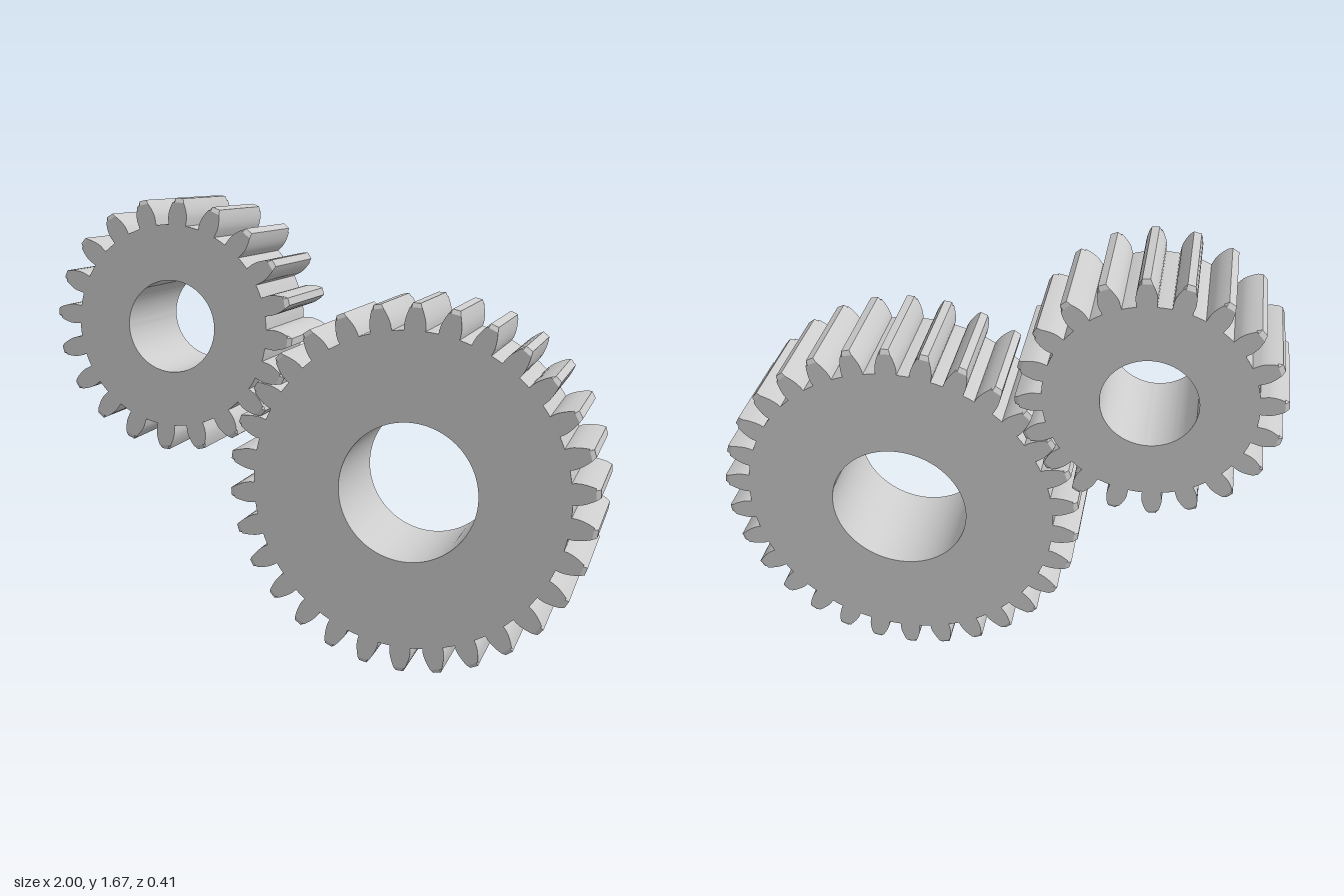
import * as THREE from 'three';
import { toCreasedNormals } from 'three/addons/utils/BufferGeometryUtils.js';

const MODULE = 0.0415;            // tooth size shared by both gears
const HALF = 0.206;               // half of the face width
const CHAMFER = { radial: 0.015, axial: 0.01 };
const PRESSURE = THREE.MathUtils.degToRad(20);
const involute = (a) => Math.tan(a) - a;

// Spur gear with involute teeth; phase is the angle of one tooth in degrees
function createGear(name, teeth, bore, phase, material) {
  const pitch = MODULE * teeth / 2;
  const base = pitch * Math.cos(PRESSURE);
  const root = pitch - 1.25 * MODULE;
  const tip = pitch + MODULE;
  const rim = tip - CHAMFER.radial;

  // Half the angle a tooth covers at radius r (radial flank below the base circle)
  const halfAngle = (r) => {
    const a = r > base ? Math.acos(base / r) : 0;
    return (Math.PI / 2 - 0.05) / teeth + involute(PRESSURE) - involute(a);
  };

  // Outline: up one flank, across the tip, down the other, along the root
  const radii = [root, base];
  for (let i = 1; i <= 4; i++) radii.push(base + (rim - base) * i / 4);
  radii.push(tip);
  const step = 2 * Math.PI / teeth;
  const points = [];
  const add = (r, a) => points.push(new THREE.Vector2(r * Math.cos(a), r * Math.sin(a)));
  for (let t = 0; t < teeth; t++) {
    const mid = THREE.MathUtils.degToRad(phase) + t * step;
    for (const r of radii) add(r, mid - halfAngle(r));
    for (const r of [...radii].reverse()) add(r, mid + halfAngle(r));
    const h = halfAngle(root);
    for (let i = 1; i <= 2; i++) add(root, mid + h + (step - 2 * h) * i / 3);
  }
  const shape = new THREE.Shape(points);
  const hole = new THREE.Path();
  hole.absarc(0, 0, bore, 0, 2 * Math.PI, true);
  shape.holes.push(hole);

  // Four layers along z: the two end layers are drawn in to chamfer the tips
  const geometry = new THREE.ExtrudeGeometry(shape, {
    depth: 3, steps: 3, bevelEnabled: false, curveSegments: 64,
  });
  const layers = [-HALF, -HALF + CHAMFER.axial, HALF - CHAMFER.axial, HALF];
  const pos = geometry.attributes.position;
  for (let i = 0; i < pos.count; i++) {
    const layer = Math.round(pos.getZ(i));
    const r = Math.hypot(pos.getX(i), pos.getY(i));
    const k = layer % 3 === 0 && r > rim ? rim / r : 1;
    pos.setXYZ(i, pos.getX(i) * k, pos.getY(i) * k, layers[layer]);
  }
  const mesh = new THREE.Mesh(toCreasedNormals(geometry, 0.42), material);
  mesh.name = name;
  return mesh;
}

export function createModel() {
  const group = new THREE.Group();
  group.name = 'gearPair';
  const material = new THREE.MeshStandardMaterial({ color: 0xcccccc });

  // Large wheel, lower left of the model
  const large = createGear('largeGear', 30, 0.251, 148, material);
  large.position.set(0.336, 0.664, 0);

  // Small pinion meshing with it, upper right of the model
  const small = createGear('smallGear', 20, 0.166, 85, material);
  small.position.set(-0.544, 1.214, 0);

  group.add(large, small);
  return group;
}
